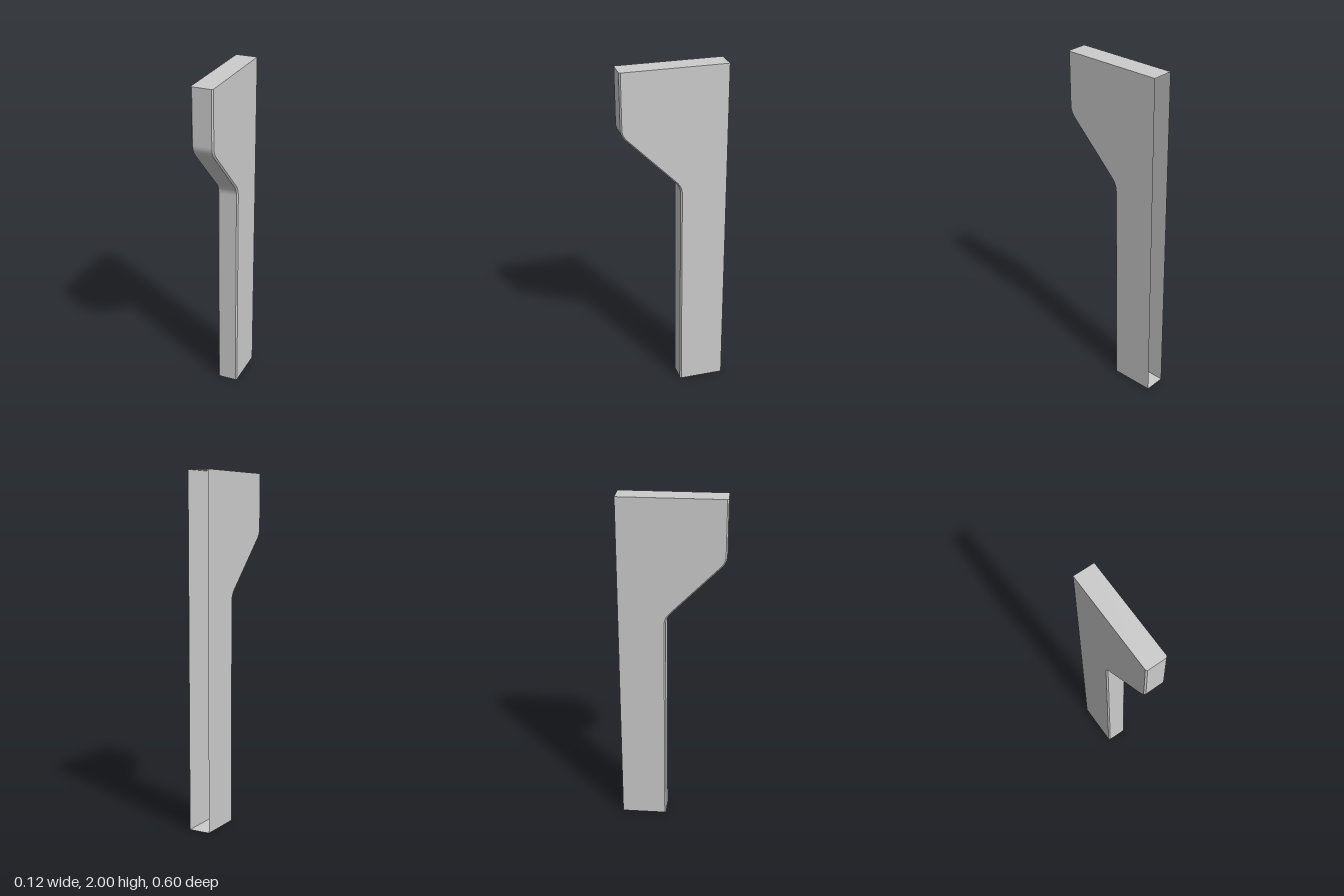
import * as THREE from 'three';

const HALF = 0.062, BACK = -0.3, BEVEL = 0.008;

// Front edge outline as (z, y) points from bottom to top, with two rounded bends
function frontOutline() {
  const path = new THREE.Path();
  path.moveTo(-0.034, 0);
  path.lineTo(-0.034, 1.27);
  path.quadraticCurveTo(-0.034, 1.31, -0.006, 1.339);
  path.lineTo(0.272, 1.621);
  path.quadraticCurveTo(0.3, 1.65, 0.3, 1.69);
  path.lineTo(0.3, 2);
  return path.getPoints(10);
}

// Outline moved inwards by d
function inset(pts, d) {
  return pts.map((p, i) => {
    const a = pts[Math.max(i - 1, 0)], b = pts[Math.min(i + 1, pts.length - 1)];
    const end = i === 0 || i === pts.length - 1;
    const t = b.clone().sub(a).normalize();
    return new THREE.Vector2(p.x - t.y * d, end ? p.y : p.y + t.x * d);
  });
}

// Smooth strip between two vertical columns of points
function strip(a, b) {
  const pos = [], index = [];
  a.forEach((p, i) => {
    pos.push(...p.toArray(), ...b[i].toArray());
    if (i) {
      const k = 2 * i - 2;
      index.push(k, k + 1, k + 3, k, k + 3, k + 2);
    }
  });
  const g = new THREE.BufferGeometry();
  g.setAttribute('position', new THREE.Float32BufferAttribute(pos, 3));
  g.setIndex(index);
  g.computeVertexNormals();
  return g;
}

export function createModel() {
  const group = new THREE.Group();
  group.name = 'bracketPanel';
  const material = new THREE.MeshStandardMaterial({ color: 0xcccccc, side: THREE.DoubleSide });
  const add = (name, geometry) => {
    const mesh = new THREE.Mesh(geometry, material);
    mesh.name = name;
    group.add(mesh);
  };

  const outer = frontOutline(), inner = inset(outer, BEVEL);
  const column = (pts, x) => pts.map(p => new THREE.Vector3(x, p.y, p.x));
  const backEdge = inner.map(p => new THREE.Vector2(BACK, p.y));

  // Side walls, bevels and front band, running around from back to back
  const columns = [
    column(backEdge, -HALF), column(inner, -HALF), column(outer, -HALF + BEVEL),
    column(outer, HALF - BEVEL), column(inner, HALF), column(backEdge, HALF),
  ];
  ['rightWall', 'rightBevel', 'frontBand', 'leftBevel', 'leftWall'].forEach((name, i) =>
    add(name, strip(columns[i], columns[i + 1])));

  // Top and bottom caps; the back stays open
  const cap = (name, z, y, up) => {
    const s = up ? -1 : 1;
    const corners = [
      [-HALF, BACK], [HALF, BACK], [HALF, z - BEVEL],
      [HALF - BEVEL, z], [-HALF + BEVEL, z], [-HALF, z - BEVEL],
    ].map(([x, d]) => new THREE.Vector2(x, s * d));
    const g = new THREE.ShapeGeometry(new THREE.Shape(corners));
    add(name, g.rotateX(s * Math.PI / 2).translate(0, y, 0));
  };
  cap('bottomCap', outer[0].x, 0, false);
  cap('topCap', outer[outer.length - 1].x, 2, true);

  return group;
}
